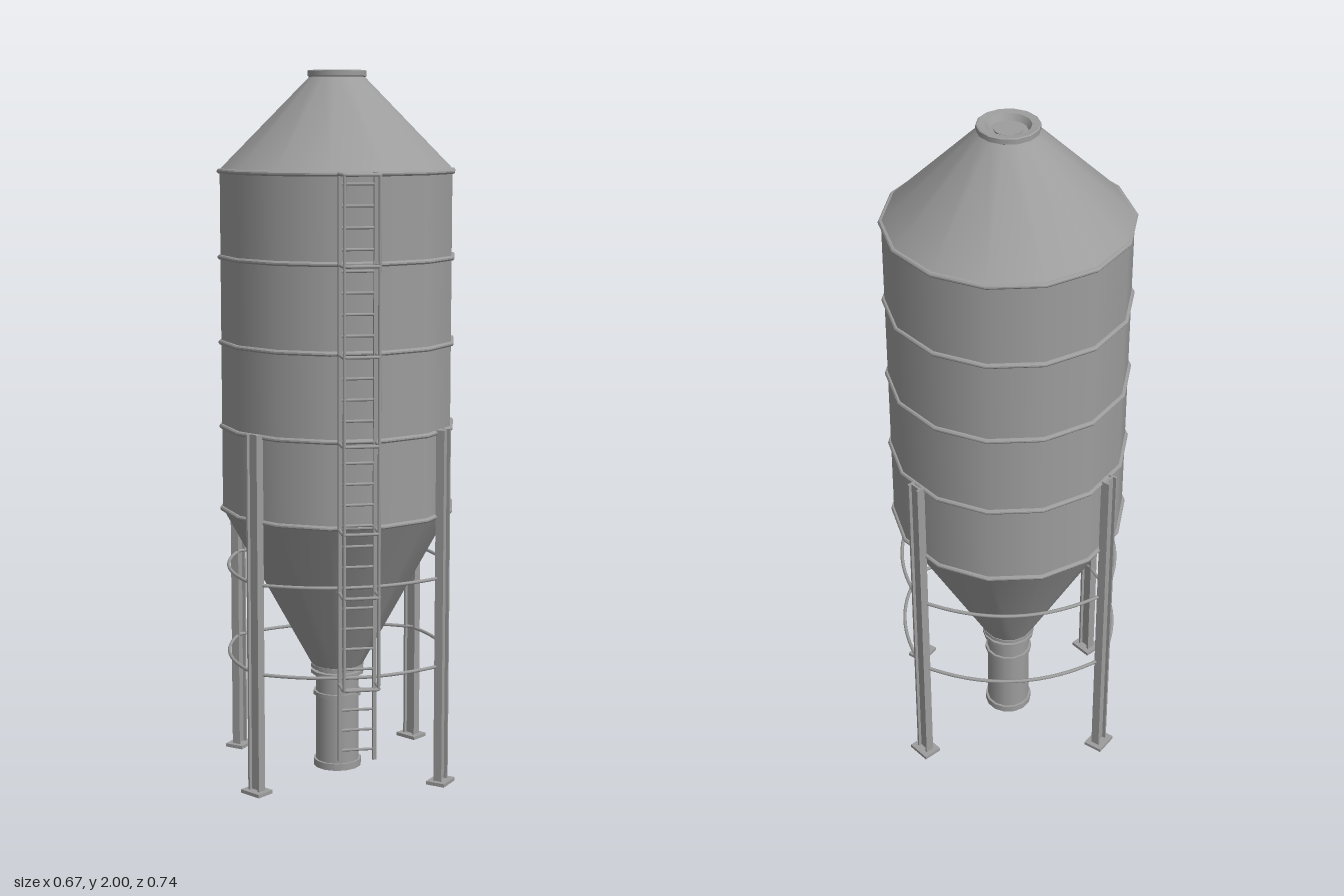
import * as THREE from 'three';
import { mergeGeometries } from 'three/addons/utils/BufferGeometryUtils.js';

const SIDES = 14;
const AXIS_Z = -0.04; // the tank sits slightly behind centre, the ladder in front
const SEAMS = [0.775, 1.012, 1.25, 1.488, 1.725];

const steel = new THREE.MeshStandardMaterial({ color: 0x9d9d9d });
const sheet = new THREE.MeshStandardMaterial({ color: 0x9d9d9d, side: THREE.DoubleSide });

function add(parent, name, geometry, material = steel) {
  const mesh = new THREE.Mesh(geometry, material);
  mesh.name = name;
  parent.add(mesh);
  return mesh;
}

// 14-sided turned part from [radius, y] pairs, listed bottom to top;
// smooth around the axis, sharp between the steps of the profile
function turned(parent, name, profile) {
  const points = profile.map(([r, y]) => new THREE.Vector2(r, y));
  const rings = points.slice(1).map((p, i) =>
    new THREE.LatheGeometry([points[i], p], SIDES, Math.PI / SIDES));
  return add(parent, name, mergeGeometries(rings), sheet);
}

// Raised flat band around a shell of the given radius
function band(parent, name, y, inner, outer, height) {
  const h = height / 2;
  return turned(parent, name, [[inner, y - h], [outer, y - h], [outer, y + h], [inner, y + h]]);
}

// Round bar between two points
function bar(parent, name, a, b, radius) {
  const path = new THREE.LineCurve3(new THREE.Vector3(...a), new THREE.Vector3(...b));
  return add(parent, name, new THREE.TubeGeometry(path, 1, radius, 8), sheet);
}

function buildTank() {
  const tank = new THREE.Group();
  tank.name = 'tank';
  turned(tank, 'hopper', [[0.068, 0.295], [0.329, 0.775]]);
  turned(tank, 'barrel', [[0.329, 0.775], [0.329, 1.727]]);
  turned(tank, 'roof', [[0.332, 1.727], [0.078, 1.982]]);
  // Bevelled bands over the sheet seams
  SEAMS.forEach(y => turned(tank, 'seamBand', [
    [0.327, y - 0.007], [0.334, y - 0.006], [0.337, y - 0.002],
    [0.337, y + 0.002], [0.334, y + 0.006], [0.327, y + 0.007],
  ]));
  // Filler neck: flat rim, sloped recess and a small round lid
  turned(tank, 'fillerRim', [
    [0.076, 1.98], [0.083, 1.984], [0.083, 1.998], [0.08, 2], [0.06, 1.998], [0.05, 1.982], [0, 1.982],
  ]);
  const lid = add(tank, 'fillerLid', new THREE.CylinderGeometry(0.037, 0.037, 0.006, 32));
  lid.position.y = 1.983;
  // Outlet pipe with its collars
  turned(tank, 'outletPipe', [[0.063, 0], [0.063, 0.3]]);
  band(tank, 'upperCollar', 0.302, 0.06, 0.077, 0.01);
  band(tank, 'lowerCollar', 0.284, 0.06, 0.077, 0.01);
  band(tank, 'pipeCollar', 0.22, 0.06, 0.07, 0.012);
  band(tank, 'outletFlange', 0.01, 0.06, 0.07, 0.02);
  return tank;
}

// Leg built along local +z (outwards): two radial flanges, one web, a foot plate
function buildLeg() {
  const leg = new THREE.Group();
  leg.name = 'leg';
  const height = 1.01;
  const y = 0.01 + height / 2;
  add(leg, 'web', new THREE.BoxGeometry(0.034, height, 0.006)).position.set(0, y, 0.337);
  for (const s of [-1, 1]) {
    add(leg, 'flange', new THREE.BoxGeometry(0.006, height, 0.025)).position.set(s * 0.018, y, 0.337);
  }
  add(leg, 'footPlate', new THREE.BoxGeometry(0.07, 0.01, 0.056)).position.set(0, 0.005, 0.337);
  return leg;
}

// Bowed braces joining the four legs at one height
function buildBraces(y) {
  const braces = new THREE.Group();
  braces.name = 'braceRing';
  const x = 0.262, z = 0.209;
  for (const s of [-1, 1]) {
    const runs = [
      [[s * x, -z], [s * 0.362, 0], [s * x, z]],
      [[-x, s * z], [0, s * 0.365], [x, s * z]],
    ];
    for (const run of runs) {
      const path = new THREE.QuadraticBezierCurve3(...run.map(([px, pz]) => new THREE.Vector3(px, y, pz)));
      add(braces, 'brace', new THREE.TubeGeometry(path, 16, 0.005, 8), sheet);
    }
  }
  return braces;
}

function buildLadder() {
  const ladder = new THREE.Group();
  ladder.name = 'ladder';
  const x = 0.05, back = 0.295, front = 0.366, corner = 0.012;
  const bottom = 0.125, top = 1.73;
  for (const s of [-1, 1]) {
    const rail = add(ladder, 'rail', new THREE.BoxGeometry(0.01, top - bottom, 0.013));
    rail.position.set(s * (x - 0.002), (top + bottom) / 2, back);
    bar(ladder, 'cageUpright', [s * (x - 0.003), 0.345, front - 0.002], [s * (x - 0.003), 1.725, front - 0.002], 0.0045);
  }
  for (let i = 0; i < 28; i++) {
    const y = 0.155 + i * 0.0572;
    bar(ladder, 'rung', [-x, y, back], [x, y, back], 0.004);
  }
  // U-shaped cage hoops with rounded corners
  for (const y of [0.345, 0.6, ...SEAMS]) {
    const p = (px, pz) => new THREE.Vector3(px, y, pz);
    const hoop = new THREE.CurvePath();
    hoop.add(new THREE.LineCurve3(p(-x, back - 0.008), p(-x, front - corner)));
    hoop.add(new THREE.QuadraticBezierCurve3(p(-x, front - corner), p(-x, front), p(-x + corner, front)));
    hoop.add(new THREE.LineCurve3(p(-x + corner, front), p(x - corner, front)));
    hoop.add(new THREE.QuadraticBezierCurve3(p(x - corner, front), p(x, front), p(x, front - corner)));
    hoop.add(new THREE.LineCurve3(p(x, front - corner), p(x, back - 0.008)));
    add(ladder, 'cageHoop', new THREE.TubeGeometry(hoop, 60, 0.0045, 8), sheet);
  }
  return ladder;
}

export function createModel() {
  const silo = new THREE.Group();
  silo.name = 'silo';

  const body = new THREE.Group();
  body.name = 'body';
  body.position.z = AXIS_Z;
  body.add(buildTank());

  // Legs stand against the middle of four barrel panels
  const turn = 2 * Math.PI / SIDES * 2;
  for (const angle of [turn, -turn, Math.PI - turn, Math.PI + turn]) {
    const leg = buildLeg();
    leg.rotation.y = angle;
    body.add(leg);
  }
  body.add(buildBraces(0.6), buildBraces(0.345));

  silo.add(body, buildLadder());
  return silo;
}
